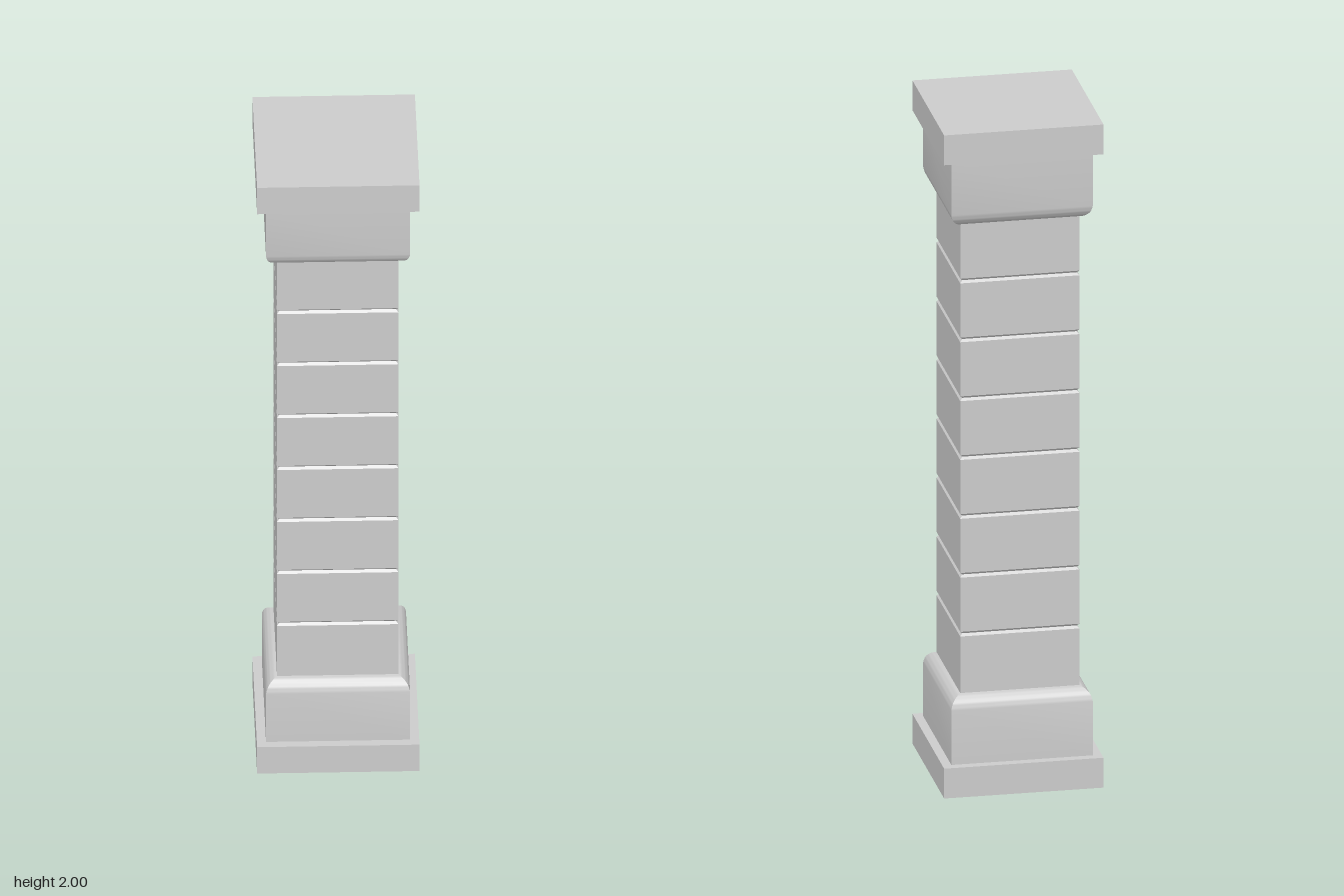
import * as THREE from 'three';
import { toCreasedNormals } from 'three/addons/utils/BufferGeometryUtils.js';

const material = new THREE.MeshStandardMaterial({ color: 0xcccccc });

// Square solid from a profile of [half width, height] pairs, bottom to top
function squareSolid(name, profile) {
  const points = profile.map(([half, y]) => new THREE.Vector2(half * Math.SQRT2, y));
  points.unshift(new THREE.Vector2(0, points[0].y));
  points.push(new THREE.Vector2(0, points[points.length - 1].y));
  const geometry = new THREE.LatheGeometry(points, 4, Math.PI / 4);
  const mesh = new THREE.Mesh(toCreasedNormals(geometry, 0.6), material);
  mesh.name = name;
  return mesh;
}

// Mirrors a profile about mid height, keeping it bottom to top
const flip = (profile) => profile.map(([half, y]) => [half, 2 - y]).reverse();

export function createModel() {
  const model = new THREE.Group();
  model.name = 'pillar';

  const slab = [[0.23, 0], [0.23, 0.09]];

  // Block with a rounded shoulder down to the shaft width
  const shoulder = new THREE.QuadraticBezierCurve(
    new THREE.Vector2(0.204, 0.253),
    new THREE.Vector2(0.2, 0.284),
    new THREE.Vector2(0.172, 0.293)
  );
  const block = [[0.204, 0.09], ...shoulder.getPoints(8).map((p) => [p.x, p.y])];

  // Shaft of eight courses separated by V grooves
  const bottom = 0.293, top = 1.713, courses = 8;
  const shaft = [[0.172, bottom]];
  for (let i = 1; i < courses; i++) {
    const y = bottom + ((top - bottom) * i) / courses;
    shaft.push([0.172, y - 0.007], [0.165, y], [0.172, y + 0.007]);
  }
  shaft.push([0.172, top]);

  model.add(
    squareSolid('plinth', slab),
    squareSolid('base', block),
    squareSolid('shaft', shaft),
    squareSolid('capital', flip(block)),
    squareSolid('topSlab', flip(slab))
  );
  return model;
}
